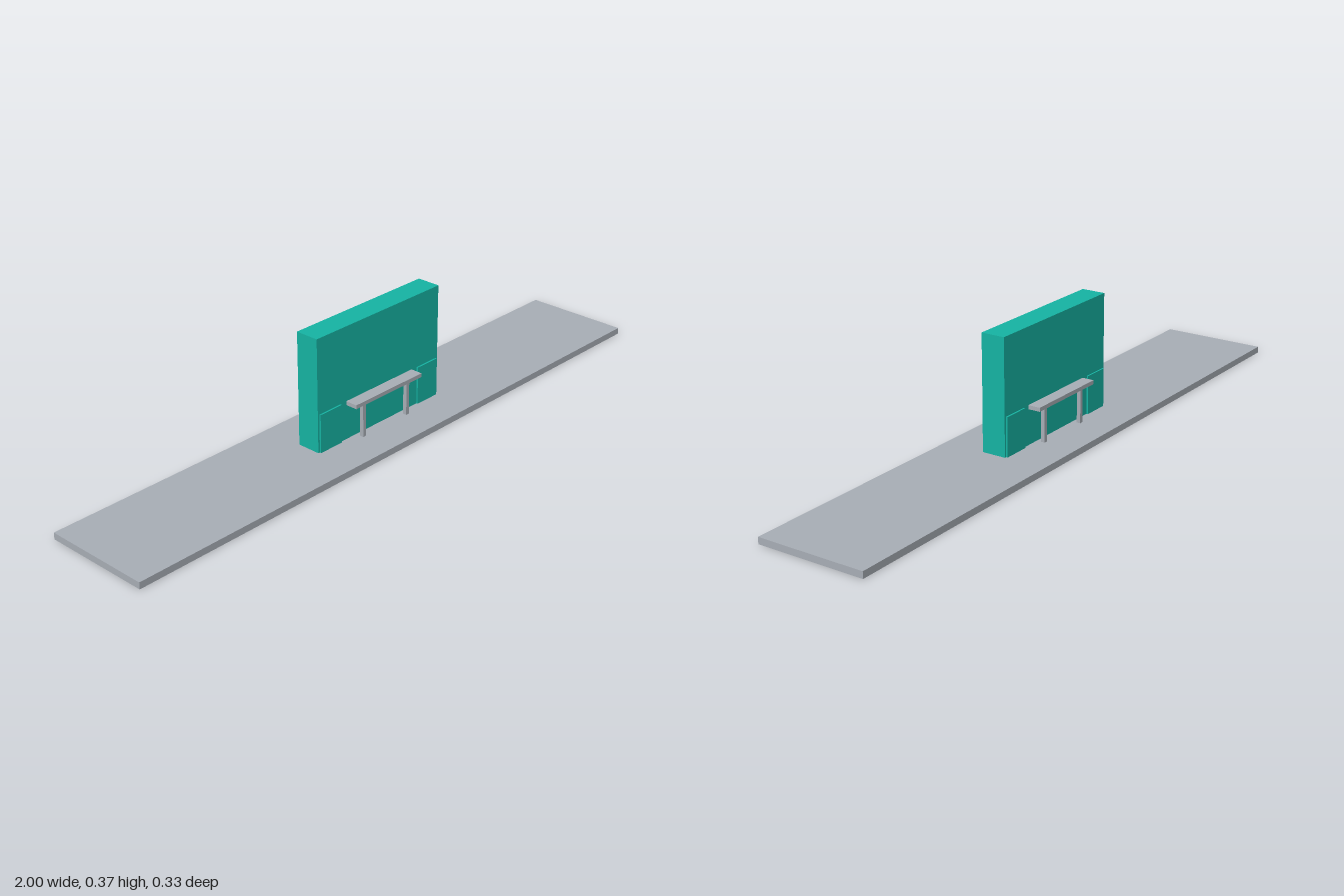
import * as THREE from 'three';

export function createModel() {
  const model = new THREE.Group();
  const concrete = new THREE.MeshStandardMaterial({ name: 'pale grey', color: 0xa9afb7 });
  const teal = new THREE.MeshStandardMaterial({ name: 'teal', color: 0x16b5a4 });

  // Axis-aligned box given by its lower and upper limits
  function box(name, material, [x0, x1], [y0, y1], [z0, z1], parent = model) {
    const mesh = new THREE.Mesh(new THREE.BoxGeometry(x1 - x0, y1 - y0, z1 - z0), material);
    mesh.position.set((x0 + x1) / 2, (y0 + y1) / 2, (z0 + z1) / 2);
    mesh.name = name;
    parent.add(mesh);
  }

  // Long flat platform with a central wall set into it
  box('platform', concrete, [-1, 1], [0, 0.02], [-0.167, 0.167]);
  box('wall', teal, [-0.25, 0.25], [0, 0.367], [-0.037, 0.037]);

  // Each wall face carries two thin low panels and a bench between them
  for (const [label, turn] of [['front', 0], ['back', Math.PI]]) {
    const side = new THREE.Group();
    side.name = label + 'Side';
    side.rotation.y = turn;
    for (const s of [-1, 1]) {
      const x = s * 0.202;
      box('wallPanel', teal, [x - 0.042, x + 0.042], [0.02, 0.138], [0.036, 0.042], side);
      box('benchLeg', concrete, [s * 0.091 - 0.006, s * 0.091 + 0.006], [0.02, 0.127], [0.052, 0.064], side);
    }
    box('benchSeat', concrete, [-0.137, 0.137], [0.127, 0.139], [0.037, 0.075], side);
    model.add(side);
  }
  return model;
}
